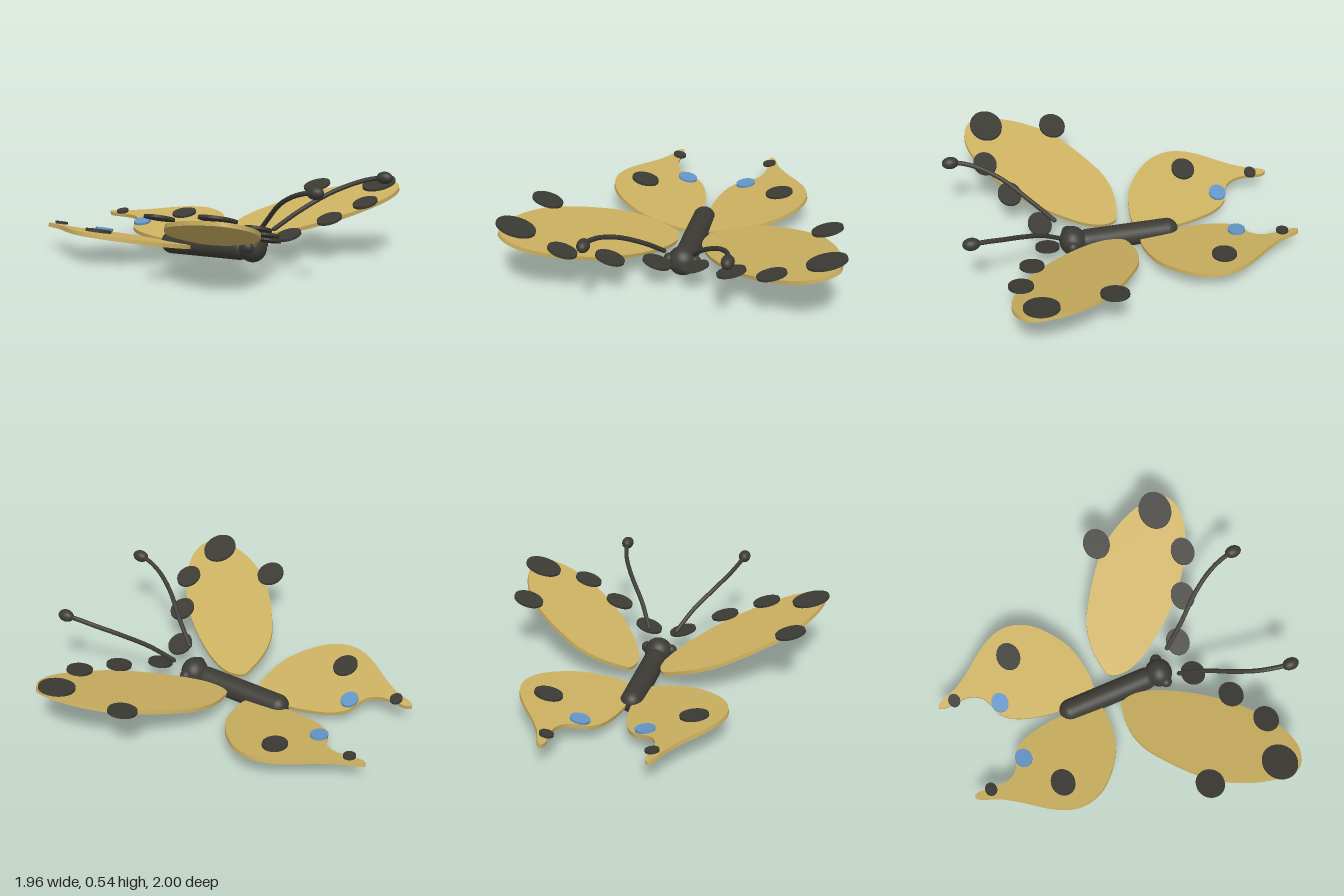
import * as THREE from 'three';
import { toCreasedNormals } from 'three/addons/utils/BufferGeometryUtils.js';

const gold = new THREE.MeshStandardMaterial({ color: 0xcbb060 });
gold.name = 'wing gold';
const dark = new THREE.MeshStandardMaterial({ color: 0x3b3a34 });
dark.name = 'charcoal';
const blue = new THREE.MeshStandardMaterial({ color: 0x6496c8 });
blue.name = 'spot blue';

// Outlines are [x, z]; the wing plane is y = base + rise * |x| + pitch * z.
// Spots are [x, z, radius along x, radius along z, material].
const foreWing = {
  name: 'foreWing', base: 0.093, rise: 0.295, pitch: 0.05, lift: 0.02,
  outline: [
    [0.075, 0.08], [0.1, 0.015], [0.165, -0.005], [0.3, -0.015], [0.43, 0.015],
    [0.56, 0.09], [0.69, 0.185], [0.8, 0.29], [0.88, 0.42], [0.925, 0.53],
    [0.95, 0.66], [0.94, 0.74], [0.88, 0.79], [0.79, 0.805], [0.68, 0.78],
    [0.48, 0.67], [0.32, 0.53], [0.165, 0.33], [0.085, 0.17],
  ],
  spots: [
    [0.875, 0.66, 0.11, 0.098, dark], [0.825, 0.25, 0.088, 0.08, dark],
    [0.59, 0.72, 0.082, 0.07, dark], [0.35, 0.615, 0.082, 0.07, dark],
    [0.115, 0.48, 0.08, 0.07, dark],
  ],
};
const hindWing = {
  name: 'hindWing', base: 0.06, rise: 0.185, pitch: -0.045, lift: 0.012,
  outline: [
    [0.02, -0.16], [0.015, -0.28], [0.02, -0.4], [0.05, -0.55], [0.085, -0.63],
    [0.13, -0.68], [0.18, -0.7], [0.245, -0.73], [0.283, -0.79], [0.29, -0.87],
    [0.28, -0.97], [0.297, -1], [0.32, -0.98], [0.36, -0.88], [0.43, -0.77],
    [0.52, -0.655], [0.58, -0.555], [0.605, -0.45], [0.575, -0.33],
    [0.495, -0.23], [0.35, -0.13], [0.215, -0.095], [0.11, -0.088], [0.04, -0.105],
  ],
  spots: [
    [0.43, -0.5, 0.083, 0.07, dark], [0.3, -0.9, 0.04, 0.035, dark],
    [0.19, -0.653, 0.058, 0.05, blue],
  ],
};

// Tilts a flat geometry onto a wing plane, keeping its height along the plane's normal
function ontoWing(geometry, wing, side) {
  const normal = new THREE.Vector3(-wing.rise * side, 1, -wing.pitch).normalize();
  const pos = geometry.attributes.position;
  const p = new THREE.Vector3();
  for (let i = 0; i < pos.count; i++) {
    p.fromBufferAttribute(pos, i);
    const height = p.y;
    p.y = wing.base + wing.rise * side * p.x + wing.pitch * p.z;
    p.addScaledVector(normal, height);
    pos.setXYZ(i, p.x, p.y, p.z);
  }
  return toCreasedNormals(geometry, 0.6);
}

function makeWing(wing, side) {
  const group = new THREE.Group();
  group.name = (side > 0 ? 'left ' : 'right ') + wing.name;

  const curve = new THREE.CatmullRomCurve3(
    wing.outline.map(([x, z]) => new THREE.Vector3(x * side, -z, 0)), true);
  const points = curve.getPoints(96).slice(0, -1).map((p) => new THREE.Vector2(p.x, p.y));
  const thickness = 0.024;
  const membrane = new THREE.ExtrudeGeometry(new THREE.Shape(points),
    { depth: thickness, bevelEnabled: false });
  membrane.rotateX(-Math.PI / 2).translate(0, -thickness, 0);
  add(group, 'wingMembrane', ontoWing(membrane, wing, side), gold);

  for (const [x, z, rx, rz, material] of wing.spots) {
    const spot = new THREE.CylinderGeometry(1, 1, 0.015, 32);
    spot.scale(rx, 1, rz).translate(x * side, wing.lift, z);
    add(group, 'wingSpot', ontoWing(spot, wing, side), material);
  }
  return group;
}

function add(parent, name, geometry, material) {
  const mesh = new THREE.Mesh(geometry, material);
  mesh.name = name;
  parent.add(mesh);
  return mesh;
}

export function createModel() {
  const model = new THREE.Group();
  model.name = 'butterfly';

  // Body, sagging slightly towards the tail
  const body = add(model, 'body', new THREE.CapsuleGeometry(0.068, 0.49, 12, 32), dark);
  body.rotation.x = Math.PI / 2 - 0.025;
  body.position.set(0, 0.074, -0.03);

  // Head
  const head = add(model, 'head', new THREE.SphereGeometry(0.087, 32, 20), dark);
  head.scale.z = 0.92;
  head.position.set(0, 0.095, 0.305);

  for (const side of [1, -1]) {
    model.add(makeWing(foreWing, side), makeWing(hindWing, side));

    // Eye
    const eye = add(model, 'eye', new THREE.SphereGeometry(0.035, 20, 14), dark);
    eye.position.set(0.076 * side, 0.107, 0.32);

    // Antenna with a clubbed tip
    const path = new THREE.CatmullRomCurve3([
      [0.088, 0.2, 0.395], [0.165, 0.305, 0.515], [0.27, 0.405, 0.65],
      [0.34, 0.465, 0.77], [0.375, 0.497, 0.87], [0.39, 0.507, 0.945],
    ].map(([x, y, z]) => new THREE.Vector3(x * side, y, z)));
    add(model, 'antenna', new THREE.TubeGeometry(path, 32, 0.0135, 10), dark);
    const base = add(model, 'antennaBase', new THREE.SphereGeometry(0.0135, 12, 8), dark);
    base.position.copy(path.getPoint(0));
    const tip = add(model, 'antennaTip', new THREE.SphereGeometry(0.036, 20, 14), dark);
    tip.scale.z = 1.38;
    tip.position.set(0.388 * side, 0.507, 0.947);
  }
  return model;
}
